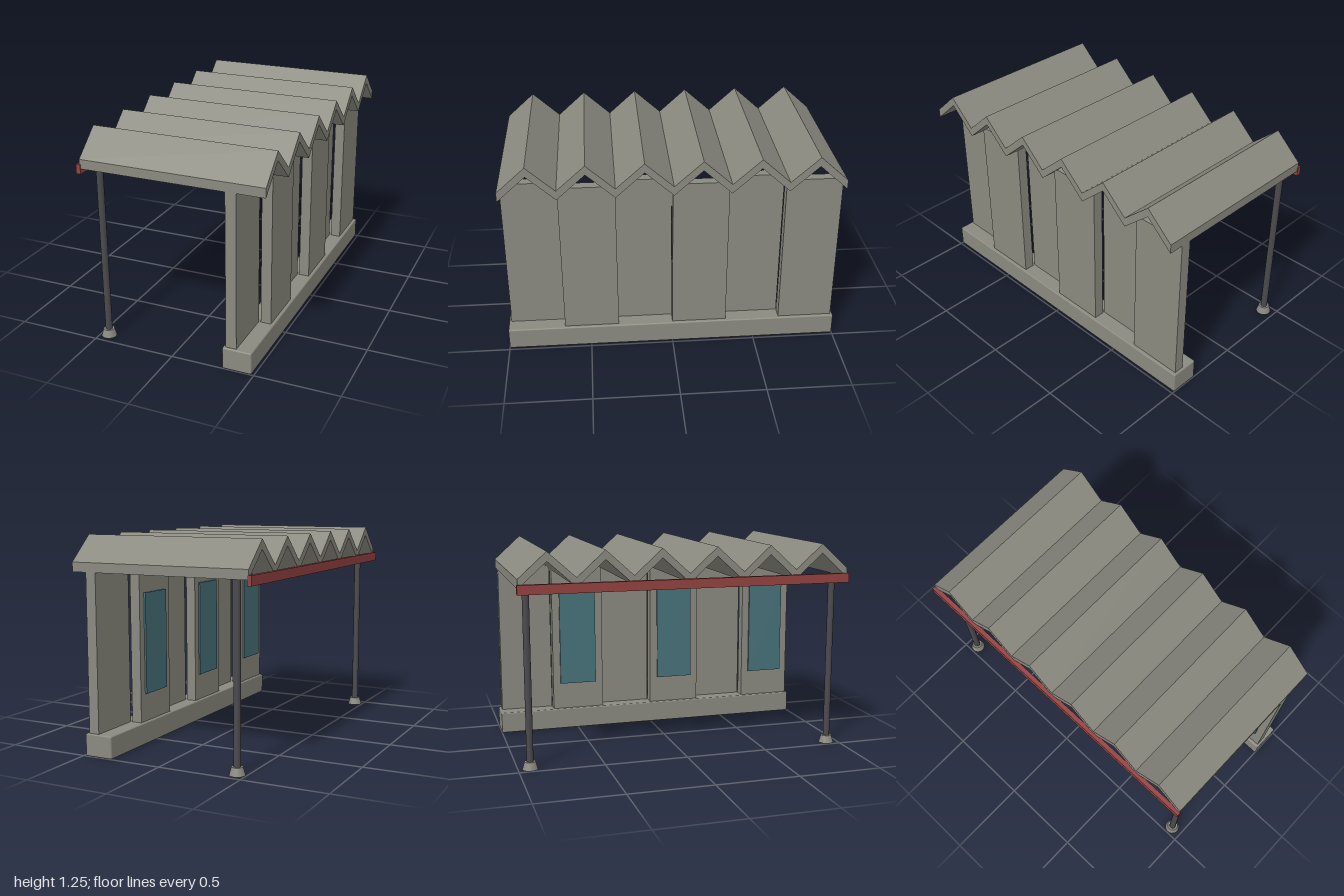
import * as THREE from 'three';
import { RoundedBoxGeometry } from 'three/addons/geometries/RoundedBoxGeometry.js';

const material = (name, color) => {
  const m = new THREE.MeshStandardMaterial({ color });
  m.name = name;
  return m;
};

export function createModel() {
  const concrete = material('concrete', 0x8a8a80);
  const steel = material('dark steel', 0x4a4a4e);
  const red = material('red trim', 0x944240);
  const teal = material('teal panel', 0x47727a);

  const group = new THREE.Group();
  group.name = 'shelter';

  const add = (name, geometry, mat, x, y, z) => {
    const mesh = new THREE.Mesh(geometry, mat);
    mesh.name = name;
    mesh.position.set(x, y, z);
    group.add(mesh);
    return mesh;
  };
  // box given by its limits on each axis
  const box = (name, mat, [x0, x1], [y0, y1], [z0, z1]) =>
    add(name, new THREE.BoxGeometry(x1 - x0, y1 - y0, z1 - z0), mat,
      (x0 + x1) / 2, (y0 + y1) / 2, (z0 + z1) / 2);

  const half = 0.985;
  const bays = 6;
  const bay = (2 * half) / bays;

  // plinth under the wall, with softened edges
  add('plinth', new RoundedBoxGeometry(0.175, 0.132, 2, 2, 0.008), concrete, 0.398, 0.066, 0);

  // staggered wall slabs: outer and inner by turns, display panels on the inner ones
  for (let i = 0; i < bays; i++) {
    const z0 = -half + i * bay;
    const inner = i % 2 === 1;
    box('wallSlab', concrete, inner ? [0.328, 0.391] : [0.403, 0.466], [0.13, 1.075], [z0, z0 + bay]);
    if (inner) {
      const mid = z0 + bay / 2;
      box('displayPanel', teal, [0.317, 0.328], [0.3, 0.907], [mid - 0.117, mid + 0.117]);
    }
  }

  // folded-plate roof: zigzag section swept across x
  const top = [];
  for (let i = 0; i <= bays * 2; i++) {
    top.push(new THREE.Vector2(-half + i * bay / 2, i % 2 ? 1.253 : 1.105));
  }
  const under = top.map((p) => new THREE.Vector2(p.x, p.y - 0.055)).reverse();
  const roof = new THREE.ExtrudeGeometry(new THREE.Shape([...top, ...under]), {
    depth: 1.096, bevelEnabled: false,
  });
  roof.rotateY(-Math.PI / 2);
  add('roof', roof, concrete, 0.556, 0, 0);

  // trim rail along the open edge
  box('trimRail', red, [-0.56, -0.533], [1.02, 1.075], [-0.99, 0.99]);

  // two round posts on tapered feet
  for (const z of [-0.93, 0.93]) {
    add('post', new THREE.CylinderGeometry(0.02, 0.02, 1.04, 20), steel, -0.448, 0.54, z);
    add('postFoot', new THREE.CylinderGeometry(0.032, 0.045, 0.046, 20), concrete, -0.448, 0.023, z);
  }

  return group;
}
